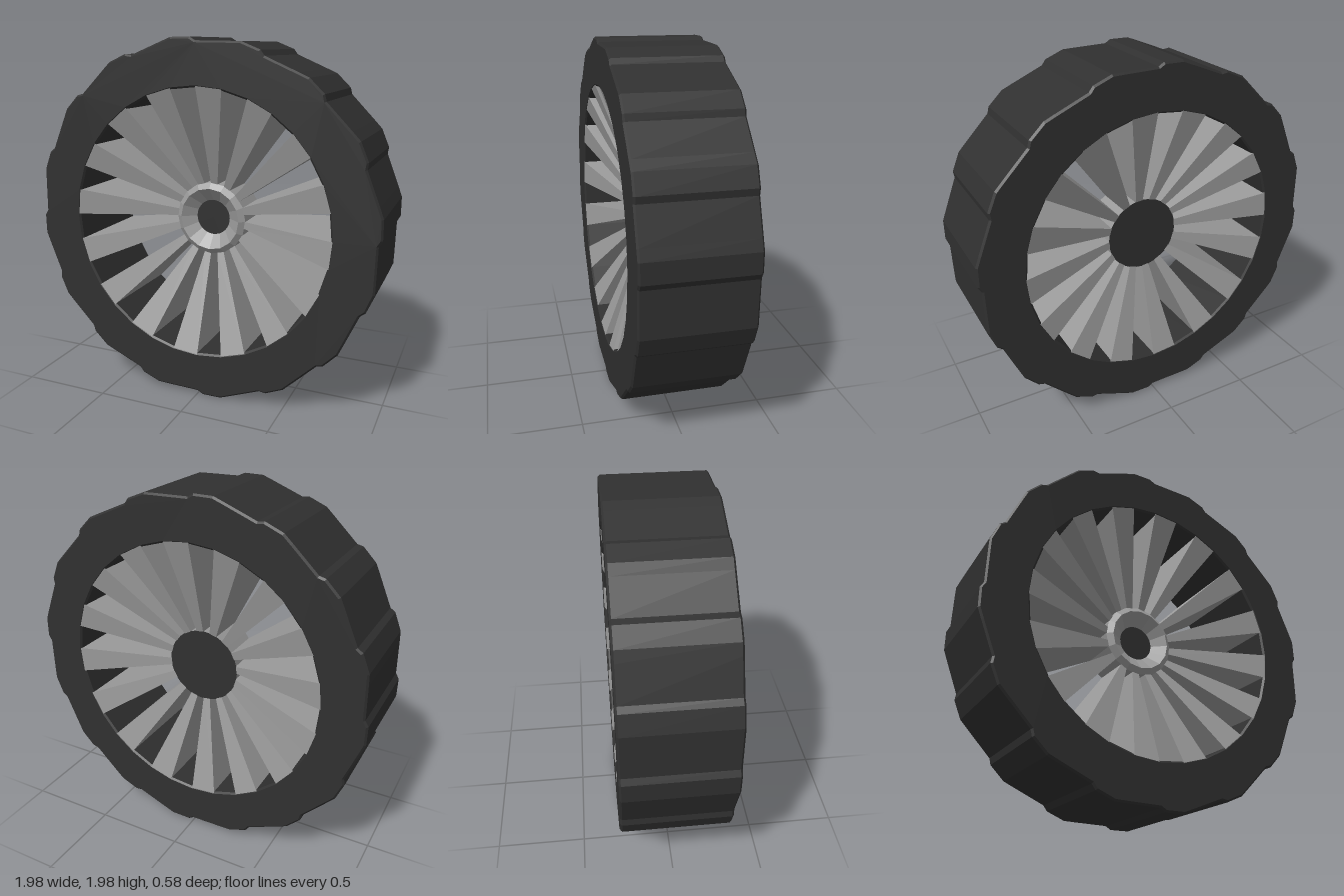
import * as THREE from 'three';

const COUNT = 16;
const STEP = (Math.PI * 2) / COUNT;
const DEG = Math.PI / 180;
const HALF_WIDTH = 0.29;
const HUB_FRONT = 0.085;
const HUB_BACK = -0.14;

const rubber = new THREE.MeshStandardMaterial({ color: 0x303030, flatShading: true });
const metal = new THREE.MeshStandardMaterial({ color: 0x999999, flatShading: true });

function add(parent, name, geometry, material) {
  const mesh = new THREE.Mesh(geometry, material);
  mesh.name = name;
  parent.add(mesh);
  return mesh;
}

const polar = (r, a) => new THREE.Vector2(r * Math.cos(a), r * Math.sin(a));

// Tyre: scalloped outline, repeated tooth of [degrees, radius], with a round opening
function tyreGeometry() {
  const tooth = [[0, 0.973], [1.8, 0.992], [8, 1.0], [11.5, 0.988]];
  const outline = [];
  for (let i = 0; i < COUNT; i++) {
    for (const [deg, r] of tooth) outline.push(polar(r, i * STEP + deg * DEG));
  }
  const hole = [];
  for (let i = 0; i < COUNT * 2; i++) hole.push(polar(0.74, -i * STEP / 2));

  const bevel = 0.01;
  const shape = new THREE.Shape(outline);
  shape.holes.push(new THREE.Path(hole));
  const geometry = new THREE.ExtrudeGeometry(shape, {
    depth: 2 * (HALF_WIDTH - bevel),
    bevelThickness: bevel,
    bevelSize: bevel,
    bevelOffset: -bevel,
    bevelSegments: 1,
  });
  geometry.translate(0, 0, -HALF_WIDTH + bevel);
  return geometry;
}

// Spoke: a box bent into a wedge that is narrow at the hub and full width at the rim
function spokeGeometry() {
  const geometry = new THREE.BoxGeometry(1, 1, 1);
  const p = geometry.attributes.position;
  for (let i = 0; i < p.count; i++) {
    const outer = p.getX(i) > 0;
    const front = p.getZ(i) > 0;
    const v = polar(outer ? 0.75 : 0.2, p.getY(i) > 0 ? 0 : -STEP / 2);
    const hubZ = front ? HUB_FRONT : HUB_BACK;
    const rimZ = front ? HALF_WIDTH - 0.002 : -HALF_WIDTH + 0.002;
    p.setXYZ(i, v.x, v.y, outer ? rimZ : hubZ);
  }
  geometry.computeVertexNormals();
  return geometry;
}

// Hub: drum with a bevelled lip and a recessed funnel in front
function hubGeometry() {
  const profile = [
    [0.207, HUB_BACK], [0.207, HUB_FRONT], [0.175, 0.11], [0.1, 0.05],
  ].map(([r, z]) => new THREE.Vector2(r, z));
  return new THREE.LatheGeometry(profile, COUNT).rotateX(Math.PI / 2);
}

export function createModel() {
  const wheel = new THREE.Group();
  wheel.name = 'wheel';
  wheel.position.y = 1;

  add(wheel, 'tyre', tyreGeometry(), rubber);

  const spokes = new THREE.Group();
  spokes.name = 'spokes';
  const spoke = spokeGeometry();
  for (let i = 0; i < COUNT; i++) add(spokes, 'spoke', spoke, metal).rotation.z = i * STEP;
  wheel.add(spokes);

  add(wheel, 'hub', hubGeometry(), metal);
  add(wheel, 'frontCap', new THREE.CircleGeometry(0.1, 32), rubber).position.z = 0.051;
  const backCap = add(wheel, 'backCap', new THREE.CircleGeometry(0.21, 32), rubber);
  backCap.position.z = HUB_BACK - 0.002;
  backCap.rotation.y = Math.PI;

  const model = new THREE.Group();
  model.name = 'spokedWheel';
  model.add(wheel);
  return model;
}
